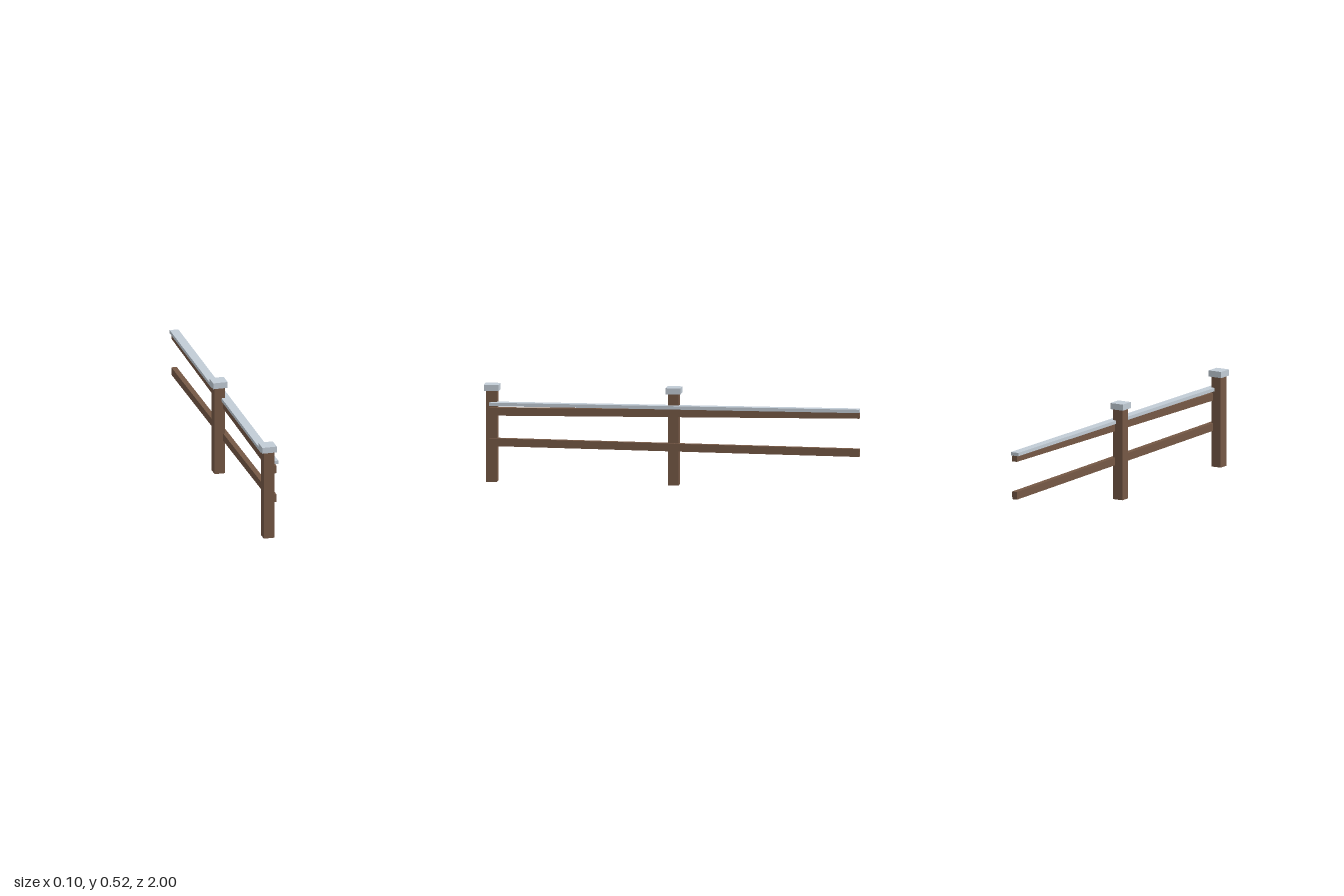
import * as THREE from 'three';

export function createModel() {
  const group = new THREE.Group();
  const wood = new THREE.MeshStandardMaterial({ name: 'brown wood', color: 0x755845 });
  const snow = new THREE.MeshStandardMaterial({ name: 'pale snow', color: 0xc2ccd6 });

  const box = (name, material, size, position) => {
    const mesh = new THREE.Mesh(new THREE.BoxGeometry(...size), material);
    mesh.name = name;
    mesh.position.set(...position);
    group.add(mesh);
    return mesh;
  };

  // Square posts with overhanging snow caps
  const postX = -0.009;
  for (const [label, z] of [['front', 0.961], ['middle', -0.007]]) {
    box(label + 'Post', wood, [0.058, 0.487, 0.058], [postX, 0.2435, z]);
    box(label + 'PostCap', snow, [0.079, 0.033, 0.079], [postX, 0.5035, z]);
  }

  // Two slightly sagging rails on the left side of the posts
  const frontZ = 0.97, backZ = -1;
  const length = frontZ - backZ, midZ = (frontZ + backZ) / 2;
  const tilt = Math.atan(0.021 / length);
  const railSize = [0.029, 0.0415, length];
  box('upperRail', wood, railSize, [0.0235, 0.388, midZ]).rotation.x = tilt;
  box('lowerRail', wood, railSize, [0.0235, 0.2045, midZ]).rotation.x = -tilt;

  // Level snow strip along the upper rail
  box('railSnow', snow, [0.047, 0.018, length], [0.0235, 0.418, midZ]);

  return group;
}
